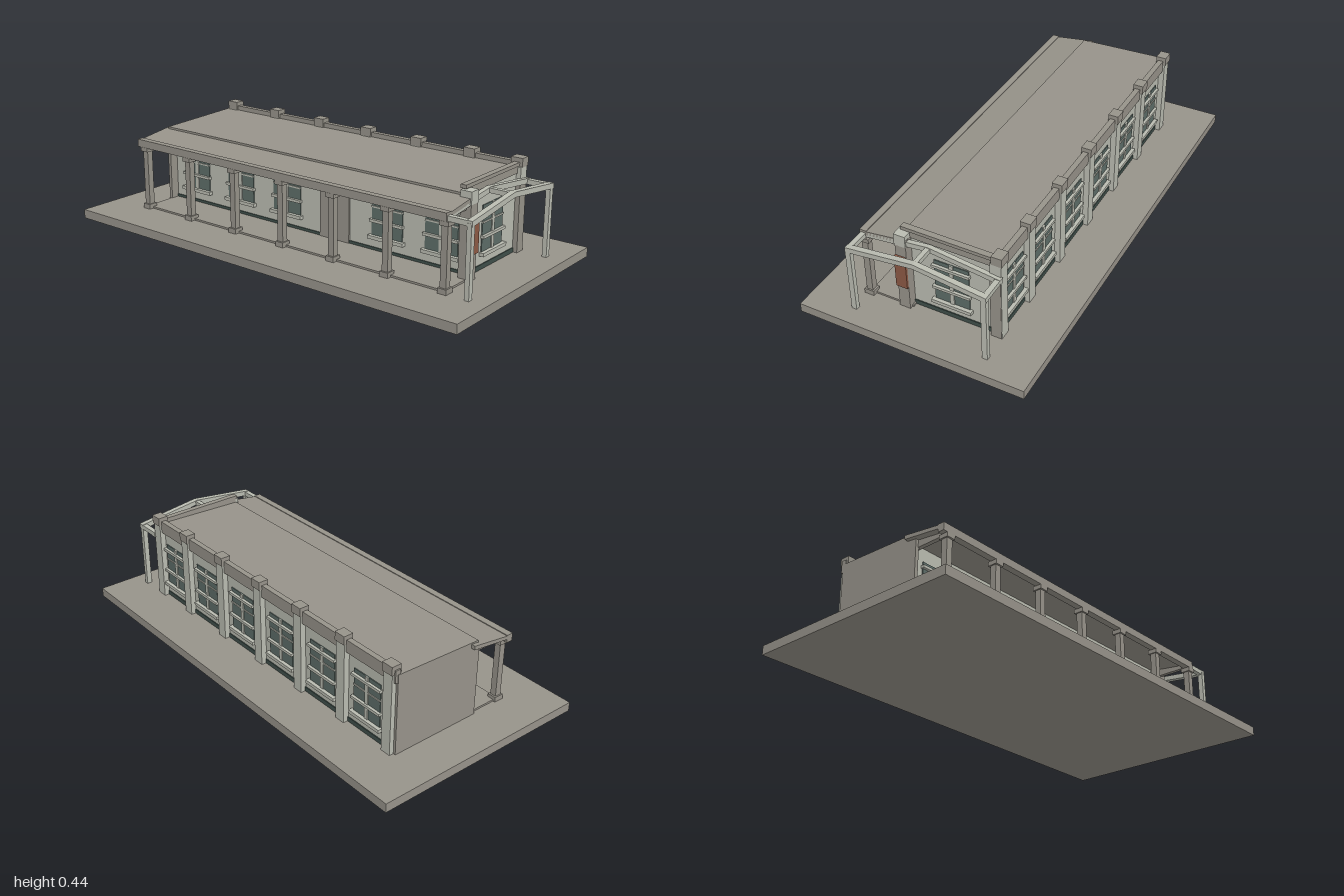
import * as THREE from 'three';

const mat = (name, color, opts = {}) => Object.assign(new THREE.MeshStandardMaterial({ color, ...opts }), { name });

export function createModel() {
  const stone = mat('taupe stone', 0x97938a);
  const plaster = mat('pale plaster', 0xbabcb1);
  const glass = mat('green glass', 0x5d6d68);
  const dark = mat('dark plinth', 0x3f4f4a);
  const rust = mat('rust board', 0x8c5944);

  const model = new THREE.Group();
  model.name = 'longHouse';

  // Box given by its lower and upper limits on each axis
  function box(name, material, x0, x1, y0, y1, z0, z1, parent = model) {
    const m = new THREE.Mesh(new THREE.BoxGeometry(x1 - x0, y1 - y0, z1 - z0), material);
    m.position.set((x0 + x1) / 2, (y0 + y1) / 2, (z0 + z1) / 2);
    m.name = name;
    parent.add(m);
    return m;
  }

  // Outline of [z, y] points swept along x
  function sweep(name, material, points, x0, x1) {
    const shape = new THREE.Shape(points.map(([z, y]) => new THREE.Vector2(-z, y)));
    const g = new THREE.ExtrudeGeometry(shape, { depth: x1 - x0, bevelEnabled: false });
    g.rotateY(Math.PI / 2);
    const m = new THREE.Mesh(g, material);
    m.position.x = x0;
    m.name = name;
    model.add(m);
    return m;
  }

  // Window facing +z, with its back on z = 0
  function addWindow(x, z, turn) {
    const w = new THREE.Group();
    w.name = 'window';
    box('glass', glass, -0.076, 0.076, 0.112, 0.305, -0.002, 0.004, w);
    box('mullion', plaster, -0.009, 0.009, 0.112, 0.305, 0, 0.008, w);
    box('glazingBar', plaster, -0.076, 0.076, 0.231, 0.238, 0, 0.008, w);
    for (const y of [0.17, 0.275]) box('crossBar', plaster, -0.082, 0.082, y, y + 0.012, 0, 0.016, w);
    box('sill', plaster, -0.087, 0.087, 0.098, 0.113, 0, 0.02, w);
    w.position.set(x, 0, z);
    w.rotation.y = turn;
    model.add(w);
  }

  // Ground slab and porch floor
  box('groundSlab', stone, -1, 1, 0, 0.04, -0.495, 0.495);
  box('porchFloor', stone, -0.8, 0.81, 0.038, 0.048, 0.09, 0.285);

  // Main walls
  box('walls', plaster, -0.8, 0.785, 0.038, 0.378, -0.275, 0.1);
  box('plinth', dark, -0.798, 0.789, 0.038, 0.06, -0.279, 0.104);
  sweep('leftoverEndWall', stone, [[-0.28, 0.038], [0.14, 0.038], [0.14, 0.372], [-0.28, 0.39]], -0.812, -0.796).name = 'plainEndWall';

  // Main roof and porch roof
  sweep('mainRoof', stone, [[-0.28, 0.376], [0.132, 0.37], [0.132, 0.386], [-0.28, 0.4]], -0.812, 0.785);
  sweep('porchRoof', stone, [[0.095, 0.364], [0.28, 0.34], [0.28, 0.356], [0.095, 0.382]], -0.83, 0.82);
  box('porchBeam', stone, -0.83, 0.82, 0.326, 0.36, 0.275, 0.305);
  for (const x of [-0.8, 0.785])
    sweep('porchEndBeam', stone, [[0.1, 0.326], [0.28, 0.326], [0.28, 0.345], [0.1, 0.365]], x, x + 0.018);

  // Parapets
  box('backParapet', stone, -0.81, 0.79, 0.365, 0.42, -0.292, -0.268);
  box('endParapet', stone, 0.772, 0.79, 0.375, 0.405, -0.27, 0.13);
  box('endCoping', stone, 0.768, 0.794, 0.405, 0.42, -0.27, 0.135);

  // Back pilasters with caps, and the windows between them
  const pilasters = [-0.777, -0.51, -0.244, 0.023, 0.29, 0.556, 0.78];
  pilasters.forEach((x, i) => {
    box('pilaster', plaster, x - 0.024, x + 0.024, 0.038, 0.402, -0.3, -0.26);
    box('pilasterCap', stone, x - 0.027, x + 0.027, 0.4, 0.438, -0.305, -0.26);
    if (i < 6) addWindow((x + pilasters[i + 1]) / 2, -0.275, Math.PI);
  });

  // End wall: window, corner facing, wing wall and hung board
  addWindow(0.785, -0.078, Math.PI / 2);
  box('cornerPier', plaster, 0.77, 0.805, 0.33, 0.402, -0.3, -0.253);
  box('cornerFacing', stone, 0.77, 0.806, 0.038, 0.34, -0.298, -0.252);
  box('wingWall', stone, 0.775, 0.824, 0.038, 0.35, 0.096, 0.144);
  box('wingTop', plaster, 0.775, 0.826, 0.35, 0.402, 0.096, 0.146);
  box('hungBoard', rust, 0.824, 0.834, 0.15, 0.3, 0.096, 0.146);

  // Front windows
  for (const x of [-0.66, -0.39, -0.12, 0.41, 0.67]) addWindow(x, 0.1, 0);

  // Arched door
  const arch = new THREE.Shape();
  arch.moveTo(-0.077, 0.048);
  arch.lineTo(0.077, 0.048);
  arch.lineTo(0.077, 0.233);
  arch.absarc(0, 0.233, 0.077, 0, Math.PI, false);
  arch.closePath();
  const door = new THREE.Mesh(new THREE.ExtrudeGeometry(arch, { depth: 0.009, bevelEnabled: false, curveSegments: 16 }), stone);
  door.name = 'archedDoor';
  door.position.set(0.142, 0, 0.098);
  model.add(door);
  box('doorStile', stone, 0.132, 0.152, 0.048, 0.29, 0.1, 0.115);

  // Porch columns
  for (let i = 0; i < 7; i++) {
    const x = -0.79 + i * 0.2665;
    box('columnShaft', stone, x - 0.014, x + 0.014, 0.04, 0.328, 0.27, 0.298);
    box('columnBase', stone, x - 0.02, x + 0.02, 0.04, 0.062, 0.262, 0.306);
    box('columnCapital', stone, x - 0.02, x + 0.02, 0.308, 0.327, 0.262, 0.306);
  }

  // Gabled pergola at the end: two rafters frames, cross beams and posts
  const gable = [[0.3, 0.327], [0, 0.365], [-0.305, 0.327], [-0.305, 0.35], [0, 0.387], [0.3, 0.35]];
  sweep('innerRafters', plaster, gable, 0.8, 0.82);
  sweep('outerRafters', plaster, gable, 0.903, 0.927);
  box('pergolaRidge', plaster, 0.81, 0.915, 0.364, 0.384, -0.01, 0.01);
  for (const z of [-0.292, 0.29]) {
    box('pergolaCrossBeam', plaster, 0.81, 0.915, 0.328, 0.349, z - 0.012, z + 0.01);
    box('pergolaPost', plaster, 0.905, 0.925, 0.038, 0.34, z - 0.011, z + 0.012);
  }

  return model;
}
